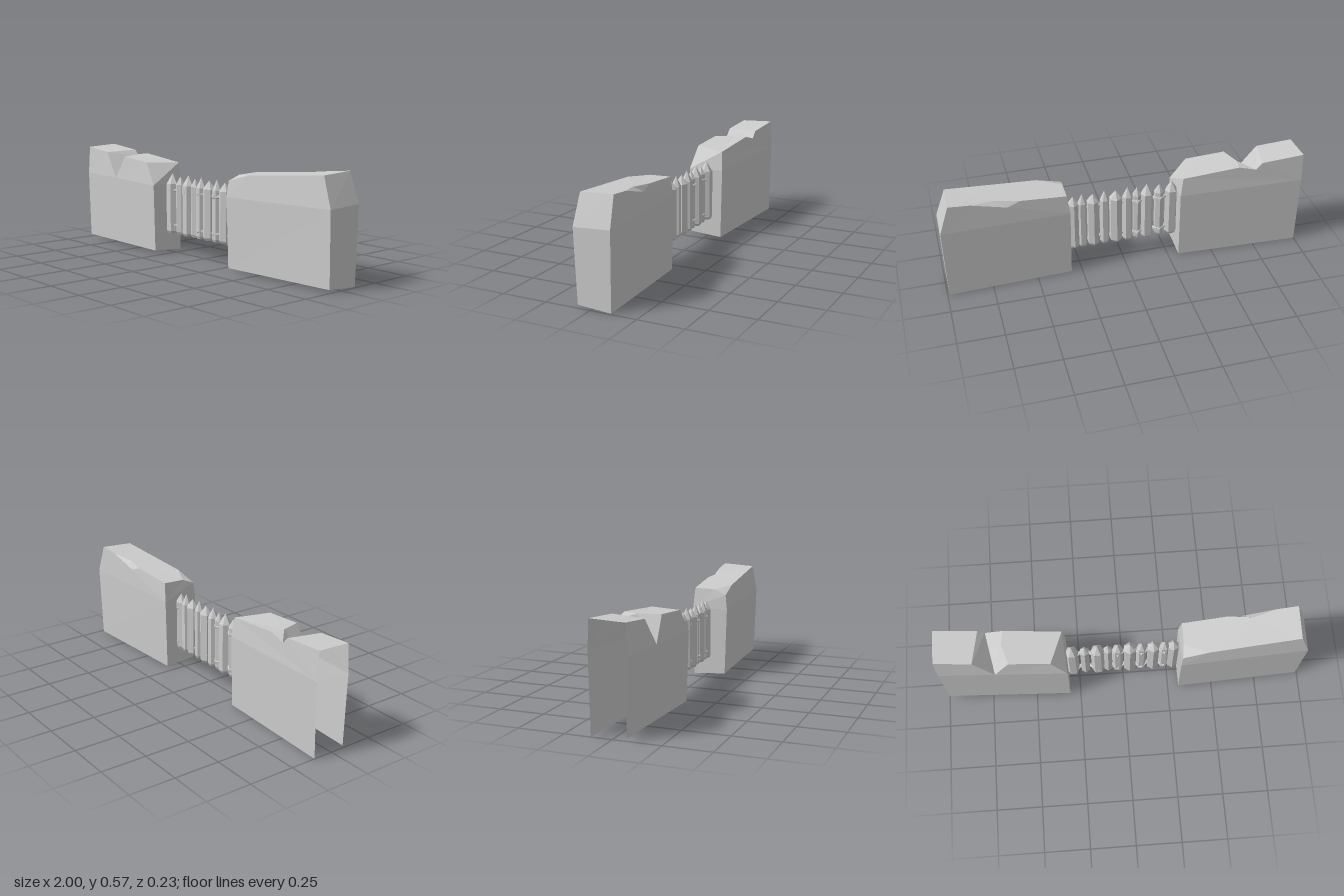
import * as THREE from 'three';

const stone = new THREE.MeshStandardMaterial({ color: 0xcccccc, side: THREE.DoubleSide });
stone.name = 'pale grey';

// Flat polygons, each fanned from its first corner
function polygons(faces, flip = false) {
  const pos = [];
  for (const f of faces) {
    for (let i = 1; i < f.length - 1; i++) {
      pos.push(...f[0], ...(flip ? f[i + 1] : f[i]), ...(flip ? f[i] : f[i + 1]));
    }
  }
  const g = new THREE.BufferGeometry();
  g.setAttribute('position', new THREE.Float32BufferAttribute(pos, 3));
  g.computeVertexNormals();
  return g;
}

function add(parent, geometry, name) {
  const mesh = new THREE.Mesh(geometry, stone);
  mesh.name = name;
  parent.add(mesh);
  return mesh;
}

// Wall corners: i = inner end, o = outer end, f = front, b = back; 0 = foot, 1 = crease
function corners(s) {
  return {
    if0: [s * 0.31, 0.013, 0.106], if1: [s * 0.307, 0.39, 0.118],
    ib0: [s * 0.31, 0, -0.08], ib1: [s * 0.307, 0.4, -0.088], ibT: [s * 0.322, 0.507, -0.08],
    of0: [s * 0.99, 0.013, 0.074], of1: [s * 0.997, 0.4, 0.085],
    ob0: [s * 0.99, 0, -0.109], ob1: [s * 0.997, 0.41, -0.117],
  };
}

// Left wall: chipped front corner and a chip in the back edge
function leftWall() {
  const c = corners(1);
  const ofT = [0.942, 0.558, 0.074], obT = [0.945, 0.567, -0.109];
  const cutTop = [0.32, 0.503, 0.04], cutFront = [0.45, 0.515, 0.1], cutSide = [0.312, 0.475, 0.108];
  const chipA = [0.57, 0.53, -0.092], chipB = [0.83, 0.556, -0.104];
  const chipTop = [0.7, 0.541, -0.072], chipLow = [0.64, 0.505, -0.098];
  return polygons([
    [c.if0, c.of0, c.of1, c.if1],
    [c.if1, c.of1, ofT, cutFront, cutSide],
    [c.of0, c.ob0, c.ob1, c.of1], [c.of1, c.ob1, obT, ofT],
    [c.ob0, c.ib0, c.ib1, c.ob1],
    [c.ob1, c.ib1, chipLow, chipB, obT], [c.ib1, c.ibT, chipA, chipLow],
    [c.ib0, c.if0, c.if1, c.ib1], [c.ib1, c.if1, cutSide, cutTop, c.ibT],
    [cutSide, cutFront, cutTop],
    [chipTop, chipA, c.ibT, cutTop, cutFront], [chipTop, cutFront, ofT],
    [chipTop, ofT, obT, chipB],
    [chipA, chipTop, chipLow], [chipTop, chipB, chipLow],
  ]);
}

// Right wall: notched top, sliced inner corner, open outer end
function rightWall() {
  const c = corners(-1);
  const of1 = [-1, 0.4, 0.085], ob1 = [-1, 0.41, -0.117];
  const of0 = [-1, 0.013, 0.074], ob0 = [-1, 0, -0.109];
  const ofT = [-1, 0.56, 0.074], obT = [-1, 0.568, -0.109];
  const nF = [-0.8, 0.542, 0.084], nB = [-0.765, 0.548, -0.1];
  const vF = [-0.695, 0.398, 0.1], vB = [-0.73, 0.51, -0.1];
  const rF = [-0.61, 0.53, 0.093], rM = [-0.645, 0.533, -0.02], rB = [-0.635, 0.536, -0.094];
  const ledge = [-0.66, 0.5, 0.0];
  const cut = [-0.39, 0.513, 0.102];
  return polygons([
    [c.if0, of0, of1, vF, c.if1],
    [of1, ofT, nF, vF], [vF, rF, cut, c.if1],
    [ob0, c.ib0, c.ib1, ob1],
    [ob1, vB, nB, obT], [ob1, c.ib1, c.ibT, rB, vB],
    [c.ib0, c.if0, c.if1, c.ib1], [c.ib1, c.if1, c.ibT],
    [c.if1, cut, c.ibT],
    [ofT, obT, nB, nF], [nF, nB, vB, vF],
    [vF, vB, ledge], [vB, rB, rM, ledge], [vF, ledge, rM, rF],
    [rM, rB, c.ibT, cut, rF],
  ], true);
}

// Pointed six-sided paling
function paling(radius, tip) {
  const profile = [[0, 0.105], [radius * 0.75, 0.11], [radius, 0.125], [radius, 0.395], [0, tip]];
  const g = new THREE.LatheGeometry(profile.map(([x, y]) => new THREE.Vector2(x, y)), 6).toNonIndexed();
  g.computeVertexNormals();
  return g;
}

// Thin rod between two points
function rod(a, b, radius) {
  const g = new THREE.CylinderGeometry(radius, radius, a.distanceTo(b), 6).toNonIndexed();
  g.computeVertexNormals();
  const dir = b.clone().sub(a).normalize();
  g.applyQuaternion(new THREE.Quaternion().setFromUnitVectors(new THREE.Vector3(0, 1, 0), dir));
  g.translate((a.x + b.x) / 2, (a.y + b.y) / 2, (a.z + b.z) / 2);
  return g;
}

export function createModel() {
  const model = new THREE.Group();
  model.name = 'wallWithFence';
  add(model, leftWall(), 'leftWall');
  add(model, rightWall(), 'rightWall');

  // Palings, with wide and narrow ones mixed
  const fence = new THREE.Group();
  fence.name = 'fence';
  model.add(fence);
  const posts = [
    [-0.28, 0.036], [-0.21, 0.027], [-0.14, 0.036], [-0.083, 0.025], [-0.03, 0.03],
    [0.037, 0.036], [0.1, 0.027], [0.165, 0.034], [0.225, 0.027], [0.275, 0.031],
  ];
  posts.forEach(([x, r], i) => {
    const post = add(fence, paling(r, i % 2 ? 0.443 : 0.454), 'paling');
    post.position.x = x;
    post.rotation.y = i % 2 ? 0 : Math.PI / 6;
  });

  // Short rods weaving from the front to the back between palings
  for (const y of [0.155, 0.36]) {
    for (let i = 0; i < posts.length - 1; i++) {
      const side = i % 2 ? -1 : 1;
      const a = new THREE.Vector3(posts[i][0] - 0.005, y, side * 0.026);
      const b = new THREE.Vector3(posts[i + 1][0] + 0.005, y, -side * 0.026);
      add(fence, rod(a, b, 0.01), 'rail');
    }
  }
  return model;
}
